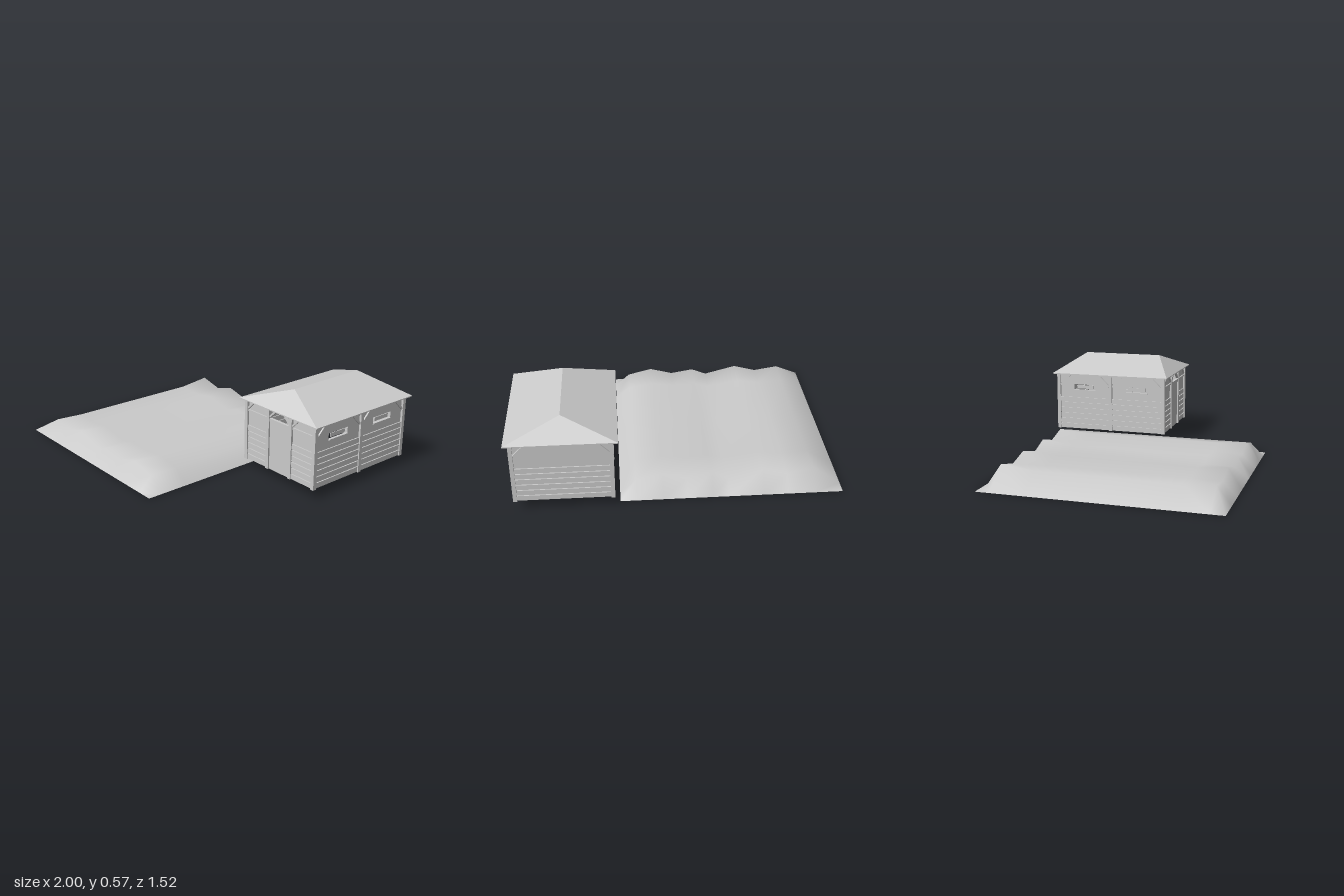
import * as THREE from 'three';

const mat = new THREE.MeshStandardMaterial({ color: 0xcccccc });
const openMat = new THREE.MeshStandardMaterial({ color: 0xcccccc, side: THREE.DoubleSide });

const BASE = 0.065, TOP = 0.465, POST = 0.024;

// Box given by its limits on each axis
function box(parent, name, x0, x1, y0, y1, z0, z1) {
  const m = new THREE.Mesh(new THREE.BoxGeometry(x1 - x0, y1 - y0, z1 - z0), mat);
  m.position.set((x0 + x1) / 2, (y0 + y1) / 2, (z0 + z1) / 2);
  m.name = name;
  parent.add(m);
  return m;
}

// Diagonal knee brace between a post (at x) and the top beam; dir is the way it leans
function brace(parent, x, dir, size = 0.07) {
  const m = new THREE.Mesh(new THREE.BoxGeometry(size * Math.SQRT2, 0.012, 0.014), mat);
  m.position.set(x + dir * size / 2, 0.45 - size / 2, -0.011);
  m.rotation.z = dir * Math.PI / 4;
  m.name = 'kneeBrace';
  parent.add(m);
}

// Panel between two posts: board behind, planks below, optional slot window above
function bay(parent, x0, x1, slot) {
  const top = 0.45, zb = -0.022, zf = -0.014;
  const mid = (x0 + x1) / 2, w = 0.08, s0 = 0.345, s1 = 0.385;
  if (slot) {
    box(parent, 'wallPanel', x0, x1, BASE, s0, zb, zf);
    box(parent, 'wallPanel', x0, x1, s1, top, zb, zf);
    box(parent, 'wallPanel', x0, mid - w, s0, s1, zb, zf);
    box(parent, 'wallPanel', mid + w, x1, s0, s1, zb, zf);
    box(parent, 'windowSill', mid - w, mid + w, s0 - 0.006, s0 + 0.002, zb - 0.004, zf + 0.006);
    box(parent, 'windowShutter', mid - w * 0.75, mid + w * 0.75, s0 + 0.01, s1 - 0.006, zb, zb + 0.004);
  } else {
    box(parent, 'wallPanel', x0, x1, BASE, top, zb, zf);
  }
  const n = 6, h = 0.23 / n;
  for (let i = 0; i < n; i++) {
    const y = BASE + i * h;
    box(parent, 'plank', x0, x1, y + 0.003, y + h - 0.003, zb - 0.006, zf + 0.007);
  }
}

function post(parent, x) {
  box(parent, 'post', x - POST / 2, x + POST / 2, BASE, 0.455, -POST, 0);
}

// One wall facing +z, with its outer face on z = 0
function makeWall(name, half, inner, slot) {
  const g = new THREE.Group();
  g.name = name;
  const posts = [-half + POST / 2, ...inner, half - POST / 2];
  posts.forEach((x, i) => {
    if (i > 0 && i < posts.length - 1) post(g, x);
    if (i === posts.length - 1) return;
    const a = x + POST / 2, b = posts[i + 1] - POST / 2;
    bay(g, a, b, slot);
    brace(g, a, 1);
    brace(g, b, -1);
  });
  box(g, 'topBeam', -half, half, 0.45, TOP, -POST, 0);
  return g;
}

function makeFront(half) {
  const g = new THREE.Group();
  g.name = 'frontWall';
  const d = 0.095;
  for (const s of [-1, 1]) {
    post(g, s * d);
    const a = d + POST / 2, b = half - POST;
    bay(g, s > 0 ? a : -b, s > 0 ? b : -a, false);
    brace(g, s * b, -s, 0.045);
    brace(g, s * a, s, 0.045);
    brace(g, s * (d - POST / 2), -s, 0.045);
  }
  box(g, 'door', -d + POST / 2, d - POST / 2, BASE, 0.375, -0.02, -0.01);
  box(g, 'doorLintel', -d, d, 0.375, 0.395, -0.022, -0.004);
  box(g, 'rail', -half, half, 0.384, 0.395, -0.02, -0.006);
  box(g, 'topBeam', -half, half, 0.45, TOP, -POST, 0);
  return g;
}

// Hipped roof from eave corners and two ridge ends
function makeRoof() {
  const x = 0.325, z = 0.417, r = 0.274, e = TOP, h = 0.575;
  const A = [-x, e, z], B = [x, e, z], C = [x, e, -z], D = [-x, e, -z];
  const F = [0, h, r], K = [0, h, -r];
  const tris = [A, B, F, C, D, K, B, C, K, B, K, F, D, A, F, D, F, K];
  const geo = new THREE.BufferGeometry();
  geo.setAttribute('position', new THREE.Float32BufferAttribute(tris.flat(), 3));
  geo.computeVertexNormals();
  const g = new THREE.Group();
  g.name = 'roof';
  const m = new THREE.Mesh(geo, openMat);
  m.name = 'roofSlopes';
  g.add(m);
  // Thin boards along the eaves
  for (const s of [-1, 1]) {
    box(g, 'eaveBoard', s * (x - 0.004) - 0.004, s * (x - 0.004) + 0.004, e - 0.006, e, -z, z);
    box(g, 'eaveBoard', -x, x, e - 0.006, e, s * (z - 0.004) - 0.004, s * (z - 0.004) + 0.004);
  }
  return g;
}

function makeHut() {
  const hut = new THREE.Group();
  hut.name = 'hut';
  const hx = 0.298, hz = 0.396;
  const front = makeFront(hx);
  front.position.z = hz;
  const back = makeWall('backWall', hx, [], false);
  back.position.z = -hz;
  back.rotation.y = Math.PI;
  hut.add(front, back);
  for (const s of [-1, 1]) {
    const side = makeWall(s > 0 ? 'leftWall' : 'rightWall', hz, [0], true);
    side.position.x = s * hx;
    side.rotation.y = s * Math.PI / 2;
    hut.add(side);
    for (const t of [-1, 1]) {
      const cx = s * (hx - POST / 2), cz = t * (hz - POST / 2);
      box(hut, 'cornerPost', cx - POST / 2, cx + POST / 2, BASE, TOP, cz - POST / 2, cz + POST / 2);
    }
  }
  hut.add(makeRoof());
  hut.position.set(0.672, 0, -0.346);
  return hut;
}

// Rolling ground: cross-sections along z, each a row of heights over the same x stations
function makeGround() {
  const xs = [-1, -0.83, -0.67, -0.52, -0.31, -0.21, -0.06, 0.09, 0.25, 0.345];
  const backRow = [0, 0.125, 0.085, 0.125, 0.07, 0.125, 0.085, 0.125, 0.085, 0];
  const midRow = [0, 0.1, 0.088, 0.11, 0.072, 0.1, 0.09, 0.11, 0.085, 0];
  const frontRow = [0, 0.11, 0.085, 0.125, 0.07, 0.11, 0.085, 0.125, 0.085, 0];
  const flat = xs.map(() => 0);
  const rows = [[-0.697, flat], [-0.61, backRow], [-0.4, midRow], [0.03, midRow],
    [0.49, midRow], [0.675, frontRow], [0.76, flat]];
  const pos = [], idx = [], n = xs.length;
  rows.forEach(([z, hs], j) => {
    xs.forEach((x, i) => {
      pos.push(x, hs[i], z);
      if (i && j) {
        const d = j * n + i, c = d - 1, b = d - n, a = b - 1;
        idx.push(a, c, b, b, c, d);
      }
    });
  });
  const geo = new THREE.BufferGeometry();
  geo.setAttribute('position', new THREE.Float32BufferAttribute(pos, 3));
  geo.setIndex(idx);
  geo.computeVertexNormals();
  const m = new THREE.Mesh(geo, openMat);
  m.name = 'ground';
  return m;
}

export function createModel() {
  const model = new THREE.Group();
  model.name = 'hutAndGround';
  model.add(makeGround(), makeHut());
  return model;
}
